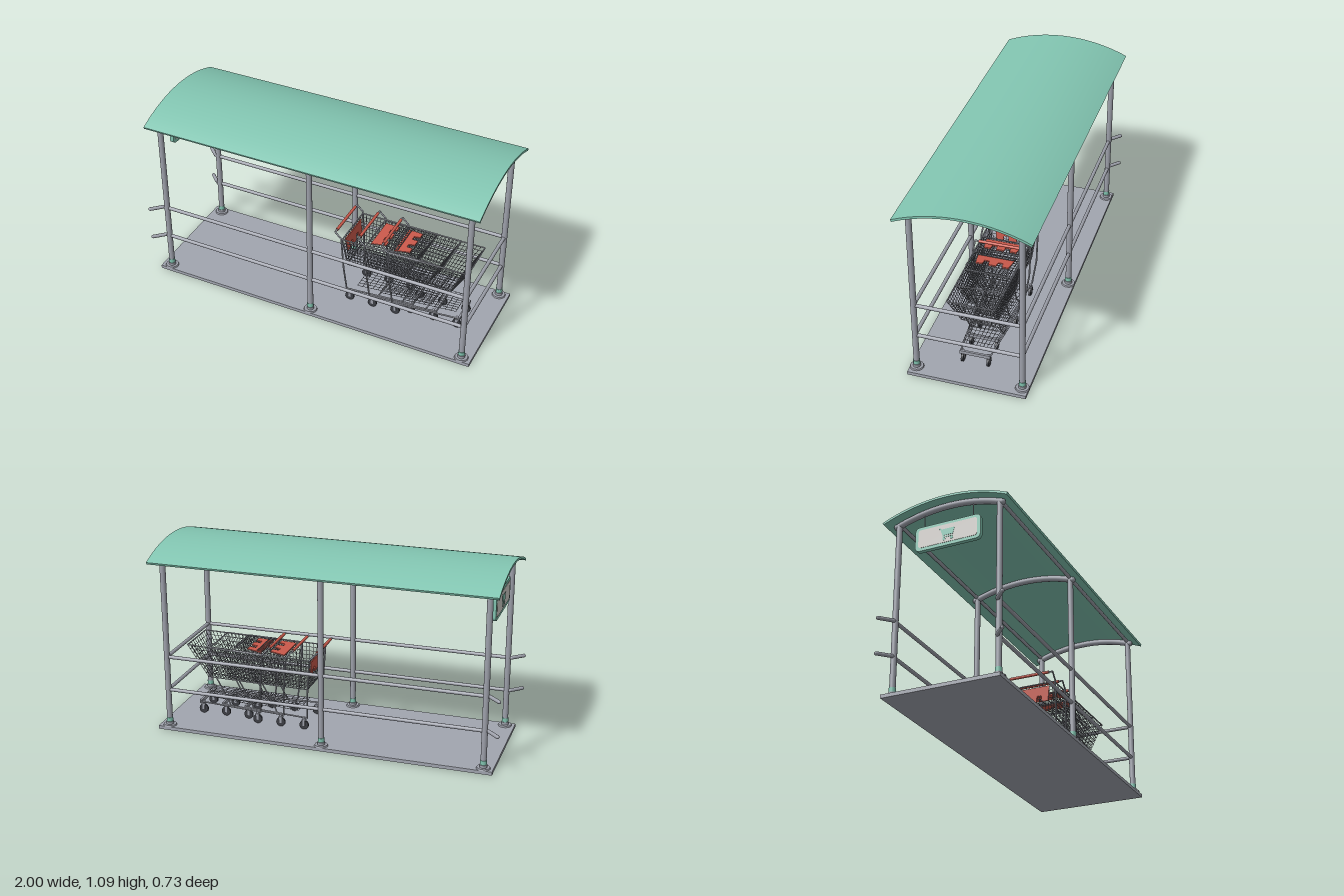
import * as THREE from 'three';
import { mergeGeometries, toCreasedNormals } from 'three/addons/utils/BufferGeometryUtils.js';

const mat = (name, color, side = THREE.FrontSide) => {
  const m = new THREE.MeshStandardMaterial({ color, side });
  m.name = name;
  return m;
};
const V = (x, y, z) => new THREE.Vector3(x, y, z);

// Straight round bar between two points
function bar(a, b, r, sides = 12, open = false) {
  const d = b.clone().sub(a);
  const g = new THREE.CylinderGeometry(r, r, d.length(), sides, 1, open);
  g.applyQuaternion(new THREE.Quaternion().setFromUnitVectors(V(0, 1, 0), d.normalize()));
  return g.translate((a.x + b.x) / 2, (a.y + b.y) / 2, (a.z + b.z) / 2);
}
// Bars through several points with round joints
function chain(pts, r, sides = 12) {
  const out = [];
  pts.forEach((p, i) => {
    if (i) out.push(bar(pts[i - 1], p, r, sides));
    out.push(new THREE.SphereGeometry(r, sides, 6).translate(p.x, p.y, p.z));
  });
  return out;
}
const cyl = (r0, r1, h, x, y, z, n = 24) => new THREE.CylinderGeometry(r0, r1, h, n).translate(x, y, z);
const box = (w, h, d, x, y, z) => new THREE.BoxGeometry(w, h, d).translate(x, y, z);

function add(parent, name, geos, material) {
  const list = [].concat(geos).map(g => (g.index ? g.toNonIndexed() : g));
  const mesh = new THREE.Mesh(mergeGeometries(list), material);
  mesh.name = name;
  parent.add(mesh);
  return mesh;
}

function roundedRect(w, h, r) {
  const s = new THREE.Shape(), x = w / 2, y = h / 2;
  s.moveTo(-x + r, -y).lineTo(x - r, -y).absarc(x - r, -y + r, r, -Math.PI / 2, 0);
  s.lineTo(x, y - r).absarc(x - r, y - r, r, 0, Math.PI / 2);
  s.lineTo(-x + r, y).absarc(-x + r, y - r, r, Math.PI / 2, Math.PI);
  s.lineTo(-x, -y + r).absarc(-x + r, -y + r, r, Math.PI, Math.PI * 1.5);
  return s;
}
const plate = (shape, depth) => new THREE.ExtrudeGeometry(shape, { depth, bevelEnabled: false, curveSegments: 10 });

export function createModel() {
  const metal = mat('grey metal', 0x9da0aa);
  const floorGrey = mat('floor grey', 0xa1a5af);
  const green = mat('mint green', 0x82c5b1);
  const wire = mat('wire grey', 0x7c7f87, THREE.DoubleSide);
  const red = mat('red plastic', 0xcb5a4c);
  const rubber = mat('dark rubber', 0x3c3e44);
  const cream = mat('pale sign panel', 0xcfccc7);

  const model = new THREE.Group();
  model.name = 'cartShelter';
  const postX = [-0.91, 0.011, 0.933], postZ = 0.295, mid = 0.0125;

  // Floor slab
  add(model, 'floor', box(1.955, 0.02, 0.66, mid, 0.01, 0), floorGrey);

  // Posts with flanges and green collars
  const posts = [], collars = [];
  for (const x of postX) for (const z of [-postZ, postZ]) {
    posts.push(cyl(0.0165, 0.0165, 0.99, x, 0.515, z), cyl(0.036, 0.039, 0.008, x, 0.024, z),
      cyl(0.021, 0.021, 0.016, x, 0.036, z));
    collars.push(cyl(0.0185, 0.0185, 0.024, x, 0.057, z));
  }
  add(model, 'posts', posts, metal);
  add(model, 'postCollars', collars, green);

  // Curved roof sheet
  const cy = 0.186, R = 0.904, ang = 0.416;
  const arc = new THREE.Shape();
  arc.absarc(0, 0, R, Math.PI / 2 - ang, Math.PI / 2 + ang, false);
  arc.absarc(0, 0, R - 0.013, Math.PI / 2 + ang, Math.PI / 2 - ang, true);
  const roof = new THREE.ExtrudeGeometry(arc, { depth: 1.967, bevelEnabled: false, curveSegments: 40 });
  roof.rotateY(Math.PI / 2).translate(-0.97, cy, 0);
  add(model, 'roof', toCreasedNormals(roof, 0.5), green);

  // Arched ribs on the post tops and long beams below the roof
  const ribs = [];
  for (const x of postX) {
    const pts = [];
    for (let i = 0; i <= 12; i++) {
      const a = 0.362 * (i / 6 - 1);
      pts.push(V(x, cy + 0.873 * Math.cos(a), 0.873 * Math.sin(a)));
    }
    ribs.push(new THREE.TubeGeometry(new THREE.CatmullRomCurve3(pts), 32, 0.0175, 12));
    for (const p of [pts[0], pts[12]]) ribs.push(new THREE.SphereGeometry(0.0175, 12, 8).translate(p.x, p.y, p.z));
  }
  for (const z of [-postZ, postZ]) ribs.push(bar(V(postX[0], 1.016, z), V(postX[2], 1.016, z), 0.01));
  add(model, 'roofFrame', ribs, metal);

  // Guard rails: sides with flared ends, closed across the far end
  const rails = [];
  for (const y of [0.24, 0.44]) {
    rails.push(...chain([V(-0.99, y, 0.351), V(-0.93, y, postZ), V(postX[2], y, postZ),
      V(postX[2], y, -postZ), V(-0.93, y, -postZ), V(-0.99, y, -0.351)], 0.0105));
  }
  add(model, 'guardRails', rails, metal);

  model.add(makeSign());
  for (let i = 0; i < 3; i++) {
    const cart = makeCart(i > 0);
    cart.position.x = 0.175 + i * 0.142;
    model.add(cart);
  }
  return model;

  // Hanging sign with a simple cart pictogram on both faces
  function makeSign() {
    const sign = new THREE.Group();
    sign.name = 'hangingSign';
    add(sign, 'signBoard', plate(roundedRect(0.38, 0.142, 0.026), 0.024).translate(0, 0, -0.012), green);
    const panels = [], icons = [];
    const icon = new THREE.Shape();
    [[-0.05, 0.037], [-0.038, 0.034], [-0.034, 0.026], [0.042, 0.026], [0.033, -0.012], [-0.02, -0.012],
      [-0.018, -0.019], [0.032, -0.019], [0.032, -0.024], [-0.026, -0.024], [-0.027, -0.012], [-0.042, 0.027], [-0.05, 0.03]]
      .forEach(([x, y], i) => (i ? icon.lineTo(x, y) : icon.moveTo(x, y)));
    for (const turn of [0, Math.PI]) {
      panels.push(plate(roundedRect(0.342, 0.106, 0.014), 0.002).translate(0, 0, 0.012).rotateY(turn));
      icons.push(plate(icon, 0.002).translate(0, 0, 0.0135).rotateY(turn));
      for (const x of [-0.019, 0.026])
        icons.push(new THREE.CylinderGeometry(0.008, 0.008, 0.002, 16).rotateX(Math.PI / 2)
          .translate(x, -0.033, 0.0145).rotateY(turn));
    }
    add(sign, 'signPanels', panels, cream);
    add(sign, 'cartPictogram', icons, green);
    add(sign, 'signHangers', [-0.143, 0.143].map(x => bar(V(x, 0.06, 0), V(x, 0.165, 0), 0.003, 8)), metal);
    sign.rotation.y = Math.PI / 2;
    sign.position.set(postX[0], 0.889, 0);
    return sign;
  }

  // Wire shopping cart, its nose towards +x; origin between the rear wheels
  function makeCart(nested) {
    const cart = new THREE.Group();
    cart.name = 'shoppingCart';
    const rb = V(-0.02, 0.265, 0.113), rt = V(-0.042, 0.45, 0.137);
    const fb = V(0.31, 0.262, 0.095), ft = V(0.42, 0.46, 0.13);
    // Point on the basket: u rear to front, v bottom to top, s across
    const P = (u, v, s) => {
      const p = rb.clone().lerp(fb, u).lerp(rt.clone().lerp(ft, u), v);
      p.z *= s;
      return p;
    };
    const W = 0.0016, wires = [], thin = (a, b) => wires.push(bar(a, b, W, 5, true));
    for (const s of [-1, 1]) {
      for (let i = 0; i <= 20; i++) thin(P(i / 20, 0, s), P(i / 20, 1, s));
      for (let j = 1; j < 8; j++) thin(P(0, j / 8, s), P(1, j / 8, s));
    }
    for (let i = -5; i <= 5; i++) {
      thin(P(1, 0, i / 5), P(1, 1, i / 5));
      thin(P(0, 0, i / 5), P(1, 0, i / 5));
    }
    for (let j = 1; j < 8; j++) thin(P(1, j / 8, -1), P(1, j / 8, 1));
    for (let i = 0; i <= 14; i++) thin(P(i / 14, 0, -1), P(i / 14, 0, 1));
    // Lower tray
    for (let i = 0; i <= 10; i++) {
      const x = 0.04 + i * 0.031, z = 0.1 - i * 0.0022, y = 0.122 + i * 0.0012;
      thin(V(x, y, -z), V(x, y, z));
    }
    for (let k = -4; k <= 4; k++) thin(V(0.04, 0.122, k * 0.025), V(0.35, 0.134, k * 0.0195));
    add(cart, 'basketWires', wires, wire);

    // Basket rim, legs, chassis and caster forks
    const frame = [
      ...chain([P(0, 1, 1), P(1, 1, 1), P(1, 1, -1), P(0, 1, -1), P(0, 1, 1)], 0.0038, 8),
      ...chain([P(0, 0, 1), P(1, 0, 1), P(1, 0, -1), P(0, 0, -1), P(0, 0, 1)], 0.003, 8),
      box(0.012, 0.02, 0.17, 0.372, 0.092, 0), bar(V(-0.082, 0.495, -0.143), V(-0.082, 0.495, 0.143), 0.005, 8)];
    const tyres = [];
    for (const s of [-1, 1]) {
      frame.push(...chain([V(-0.082, 0.495, 0.143 * s), V(-0.045, 0.458, 0.143 * s), V(-0.03, 0.25, 0.14 * s),
        V(-0.02, 0.092, 0.118 * s), V(0.372, 0.092, 0.082 * s)], 0.0048, 8));
      frame.push(bar(P(0.85, 0, s), V(0.19, 0.126, 0.089 * s), 0.004, 8));
      frame.push(bar(V(0.19, 0.126, 0.089 * s), V(0.17, 0.092, 0.1 * s), 0.004, 8));
      frame.push(bar(P(0, 1, s), P(0, 0, s), 0.003, 8));
      for (const [x, z] of [[0, 0.115], [0.357, 0.072]]) {
        tyres.push(new THREE.CylinderGeometry(0.027, 0.027, 0.012, 20).rotateX(Math.PI / 2).translate(x, 0.047, z * s));
        frame.push(cyl(0.008, 0.008, 0.02, x, 0.084, z * s, 10), box(0.024, 0.005, 0.021, x, 0.077, z * s));
        for (const d of [-0.0085, 0.0085]) frame.push(box(0.013, 0.036, 0.003, x, 0.06, z * s + d));
      }
    }
    add(cart, 'cartFrame', frame, metal);
    add(cart, 'wheels', tyres, rubber);

    // Red handle grip
    add(cart, 'handleGrip', bar(V(-0.082, 0.495, -0.12), V(-0.082, 0.495, 0.12), 0.0085, 14), red);

    // Rear flap, swung up where another cart is pushed in, with the seat panel
    const flap = new THREE.Group(), grid = [];
    flap.name = 'rearFlap';
    for (let i = -6; i <= 6; i++) grid.push(bar(V(0, 0, i * 0.021), V(0, -0.18, i * 0.0178), W, 5));
    for (let j = 0; j <= 8; j++) {
      const z = 0.126 - j * 0.0024;
      grid.push(bar(V(0, -j * 0.0225, -z), V(0, -j * 0.0225, z), j % 8 ? W : 0.003, 5));
    }
    add(flap, 'flapWires', grid, wire);
    const seat = new THREE.Shape();
    [[-0.104, -0.018], [-0.092, -0.105], [-0.055, -0.105], [-0.052, -0.07], [-0.025, -0.07], [-0.022, -0.105], [0.022, -0.105],
      [0.025, -0.07], [0.052, -0.07], [0.055, -0.105], [0.092, -0.105], [0.104, -0.018]]
      .forEach(([x, y], i) => (i ? seat.lineTo(x, y) : seat.moveTo(x, y)));
    add(flap, 'seatPanel', plate(seat, 0.008).rotateY(Math.PI / 2).translate(-0.004, 0, 0), red);
    flap.position.set(-0.04, 0.45, 0);
    flap.rotation.z = nested ? 1.67 : 0.1;
    cart.add(flap);
    return cart;
  }
}
